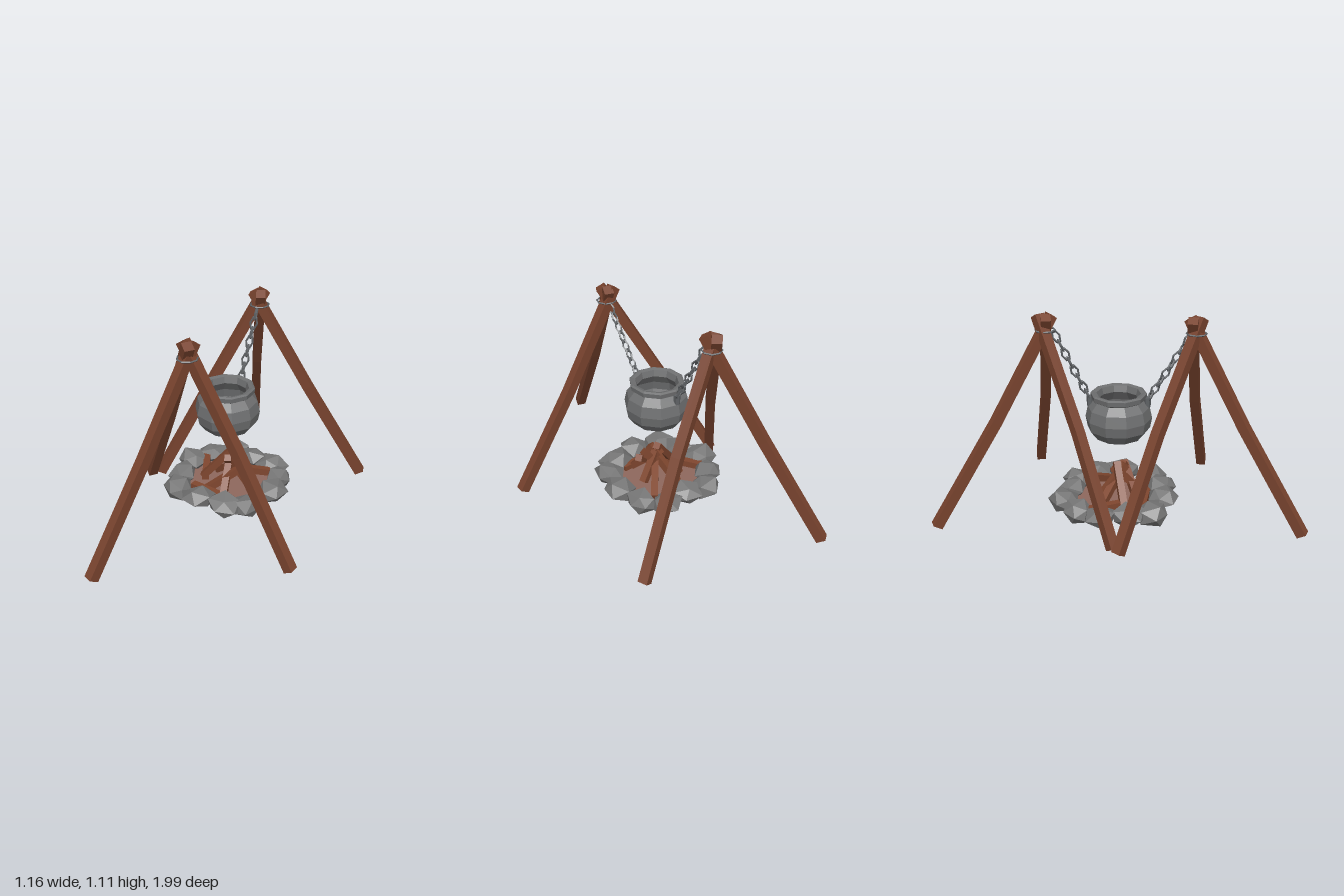
import * as THREE from 'three';

const V = (x, y, z) => new THREE.Vector3(x, y, z);

function material(name, color, doubleSided = false) {
  const m = new THREE.MeshStandardMaterial({ color, flatShading: true });
  m.name = name;
  if (doubleSided) m.side = THREE.DoubleSide;
  return m;
}

function add(parent, name, geometry, mat) {
  const mesh = new THREE.Mesh(geometry, mat);
  mesh.name = name;
  parent.add(mesh);
  return mesh;
}

// Square beam between two points, with its middle shifted by an optional bend
function beam(a, b, width, bend = V(0, 0, 0)) {
  const dir = b.clone().sub(a);
  const geo = new THREE.BoxGeometry(width, dir.length(), width, 1, 2, 1);
  const y = dir.normalize();
  const x = V(y.z, 0, -y.x).normalize();
  const z = x.clone().cross(y);
  geo.applyMatrix4(new THREE.Matrix4().makeBasis(x, y, z));
  const mid = a.clone().add(b).multiplyScalar(0.5);
  const pos = geo.attributes.position;
  const p = V(0, 0, 0);
  for (let i = 0; i < pos.count; i++) {
    p.fromBufferAttribute(pos, i);
    if (Math.abs(p.dot(y)) < 0.01) p.add(bend);
    p.add(mid);
    pos.setXYZ(i, p.x, p.y, p.z);
  }
  return geo;
}

// Rough stone: an icosahedron whose corners move by a smooth seeded rule
function stoneGeometry(seed) {
  const geo = new THREE.IcosahedronGeometry(1, 0);
  const pos = geo.attributes.position;
  for (let i = 0; i < pos.count; i++) {
    const x = pos.getX(i), y = pos.getY(i), z = pos.getZ(i);
    const s = 1 + 0.17 * Math.sin(3.1 * x + 4.7 * y + 2.3 * z + seed * 2.4)
                + 0.08 * Math.sin(5.3 * z - 3.7 * x + seed * 1.3);
    pos.setXYZ(i, x * s, y * s, z * s);
  }
  return geo;
}

export function createModel() {
  const model = new THREE.Group();
  model.name = 'campfireCauldron';
  const wood = material('poleWood', 0x78432e);
  const logWood = material('logWood', 0x80472f);
  const iron = material('potIron', 0x6e6f70, true);
  const chainIron = material('chainIron', 0x606366);
  const rock = material('stone', 0x777777);
  const ash = material('ash', 0x8e685d, true);
  const broth = material('broth', 0x80482f);

  // Two tripods of slightly bent poles: foot x, foot z, top x, top z
  const tripods = {
    frontTripod: [[-0.285, 0.965, -0.035, 0.345], [0.555, 0.447, -0.085, 0.36], [-0.545, 0.02, -0.03, 0.405]],
    backTripod: [[-0.345, -0.965, -0.03, -0.365], [0.55, -0.562, -0.085, -0.385], [-0.5, -0.01, -0.04, -0.435]],
  };
  for (const [name, poles] of Object.entries(tripods)) {
    const tripod = new THREE.Group();
    tripod.name = name;
    model.add(tripod);
    const side = Math.sign(poles[0][1]);
    for (const [fx, fz, tx, tz] of poles) {
      add(tripod, 'pole', beam(V(fx, 0.016, fz), V(tx, 1.1, tz), 0.052, V(0, 0, -0.015 * side)), wood);
    }
    // Wire binding round the crossing
    const tie = add(tripod, 'binding', new THREE.TorusGeometry(0.052, 0.005, 4, 8), chainIron);
    tie.rotation.x = Math.PI / 2;
    tie.position.set(-0.05, 1.025, side > 0 ? 0.38 : -0.395);
  }

  // Pot with thick rim and hollow inside
  const pot = new THREE.Group();
  pot.name = 'cauldron';
  pot.position.set(-0.05, 0, -0.017);
  model.add(pot);
  const profile = [
    [0, 0.408], [0.06, 0.418], [0.13, 0.45], [0.168, 0.5], [0.178, 0.555], [0.165, 0.615], [0.13, 0.655],
    [0.147, 0.665], [0.15, 0.69], [0.138, 0.696], [0.118, 0.69], [0.108, 0.655], [0.145, 0.6], [0.155, 0.55], [0.13, 0.49],
  ].map(([r, y]) => new THREE.Vector2(r, y));
  add(pot, 'potBody', new THREE.LatheGeometry(profile, 10), iron);
  const soup = add(pot, 'soup', new THREE.CircleGeometry(0.14, 10), broth);
  soup.rotation.x = -Math.PI / 2;
  soup.position.y = 0.51;

  // Lugs and sagging chains on both sides
  for (const side of [1, -1]) {
    const lug = add(pot, 'lug', new THREE.CylinderGeometry(0.02, 0.017, 0.055, 6), chainIron);
    lug.position.set(0, 0.643, side * 0.152);
    const chain = new THREE.Group();
    chain.name = 'chain';
    model.add(chain);
    const curve = new THREE.QuadraticBezierCurve3(
      V(-0.05, 0.66, -0.017 + side * 0.155), V(-0.05, 0.825, side * 0.25 - 0.01), V(-0.045, 1.02, side * 0.355));
    const count = 8;
    for (let i = 0; i < count; i++) {
      const t = (i + 0.4) / count;
      const link = add(chain, 'link', new THREE.TorusGeometry(0.022, 0.0065, 4, 6).scale(0.85, 1.5, 1), chainIron);
      link.position.copy(curve.getPoint(t));
      link.quaternion.setFromUnitVectors(V(0, 1, 0), curve.getTangent(t));
      link.rotateY(i % 2 ? Math.PI / 2 + 0.25 : 0.25);
    }
  }

  // Ash bed
  const fire = new THREE.Group();
  fire.name = 'firePit';
  model.add(fire);
  const bed = add(fire, 'ashBed', new THREE.CircleGeometry(0.25, 12), ash);
  bed.rotation.x = -Math.PI / 2;
  bed.position.set(-0.05, 0.07, -0.03);

  // Ring of stones: x, z, size
  const stones = [
    [-0.165, -0.3, 0.085], [-0.02, -0.28, 0.08], [0.11, -0.265, 0.085], [0.2, -0.165, 0.08],
    [0.225, -0.005, 0.09], [0.165, 0.14, 0.085], [0.055, 0.215, 0.09], [-0.11, 0.225, 0.085],
    [-0.255, 0.185, 0.09], [-0.305, 0.05, 0.085], [-0.325, -0.085, 0.085], [-0.265, -0.215, 0.08],
  ];
  stones.forEach(([x, z, r], i) => {
    const stone = add(fire, 'stone', stoneGeometry(i), rock);
    stone.position.set(x, 0.1 + 0.006 * Math.sin(i * 2.1), z);
    stone.scale.set(r, 0.061, r * 1.1);
    stone.rotation.y = Math.atan2(x + 0.05, z + 0.03) + Math.PI / 2;
  });

  // Stacked logs: foot and top
  const logs = [
    [-0.19, 0.1, 0.02, -0.04, 0.28, -0.03],
    [-0.13, 0.07, 0.1, 0.07, 0.235, 0.0],
    [0.07, 0.09, -0.04, -0.06, 0.27, -0.02],
    [-0.1, 0.05, -0.15, -0.03, 0.265, 0.02],
    [0.0, 0.08, 0.13, -0.05, 0.25, -0.05],
    [-0.16, 0.08, -0.1, 0.03, 0.25, 0.01],
    [0.13, 0.1, -0.19, -0.06, 0.19, 0.0],
    [-0.27, 0.1, -0.17, -0.17, 0.1, 0.03],
    [-0.2, 0.09, 0.12, 0.06, 0.08, 0.14],
  ];
  for (const [ax, ay, az, bx, by, bz] of logs) {
    add(fire, 'log', beam(V(ax, ay, az), V(bx, by, bz), 0.038), logWood);
  }
  return model;
}
